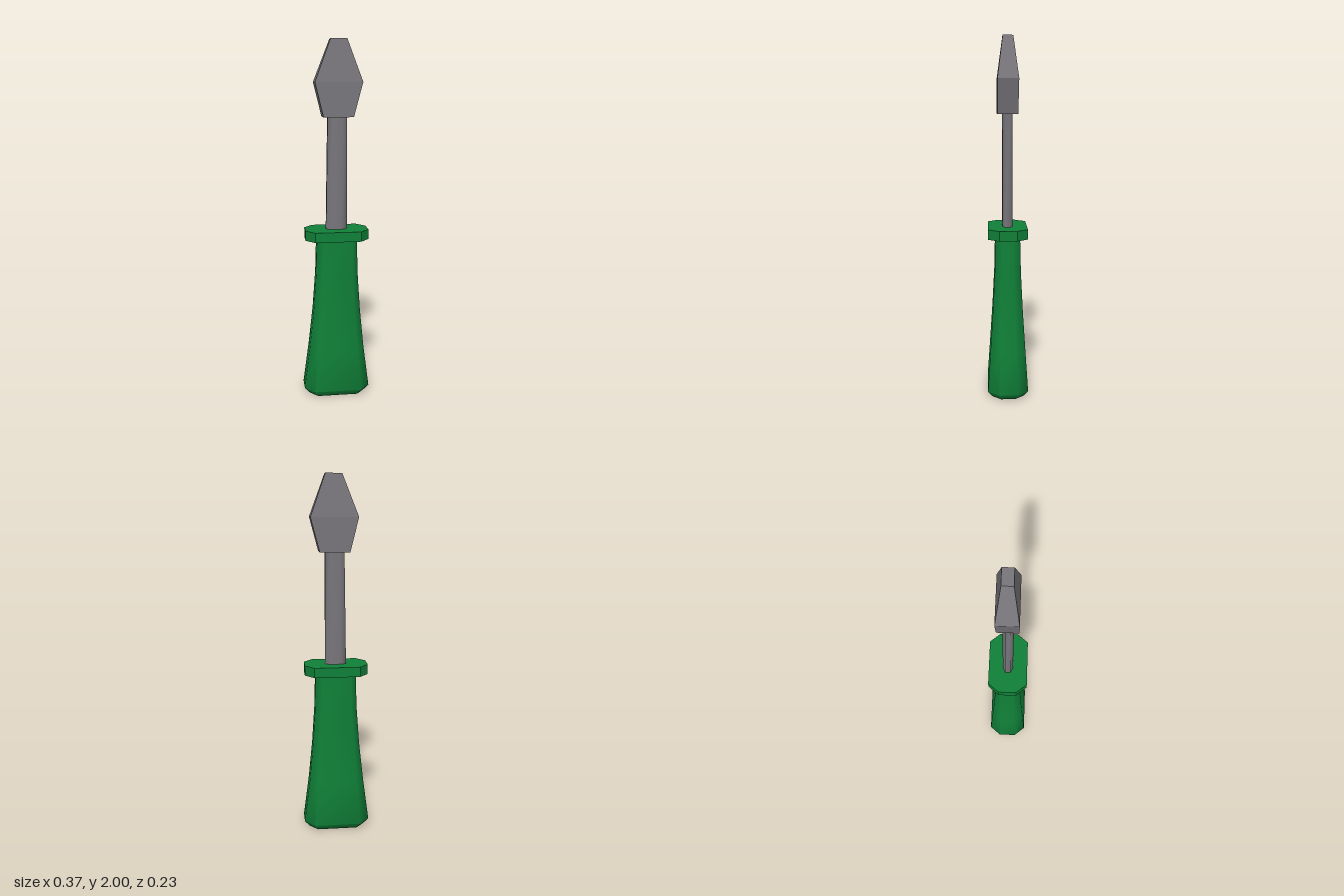
import * as THREE from 'three';
import { toCreasedNormals } from 'three/addons/utils/BufferGeometryUtils.js';

// Closed solid from sections [y, xMin, xMax, zMin, zMax], each a rectangle
// whose corners are cut by the fractions cx, cz of its half size.
function loft(sections, cx, cz, crease) {
  const pos = [], idx = [];
  const corners = [[1, 1 - cz], [1 - cx, 1], [cx - 1, 1], [-1, 1 - cz],
    [-1, cz - 1], [cx - 1, -1], [1 - cx, -1], [1, cz - 1]];
  const ring = cx > 0 ? corners : [[1, 1], [-1, 1], [-1, -1], [1, -1]];
  const n = ring.length;
  for (const [y, x0, x1, z0, z1] of sections) {
    for (const [u, v] of ring) {
      pos.push((x0 + x1) / 2 + u * (x1 - x0) / 2, y, (z0 + z1) / 2 + v * (z1 - z0) / 2);
    }
  }
  for (let s = 0; s < sections.length - 1; s++) {
    for (let i = 0; i < n; i++) {
      const a = s * n + i, b = s * n + (i + 1) % n;
      idx.push(a, a + n, b, b, a + n, b + n);
    }
  }
  // end caps
  const top = (sections.length - 1) * n;
  for (let i = 1; i < n - 1; i++) {
    idx.push(0, i, i + 1, top, top + i + 1, top + i);
  }
  const g = new THREE.BufferGeometry();
  g.setAttribute('position', new THREE.Float32BufferAttribute(pos, 3));
  g.setIndex(idx);
  return toCreasedNormals(g, crease);
}

export function createModel() {
  const green = new THREE.MeshStandardMaterial({ color: 0x108038 });
  green.name = 'handle green';
  const steel = new THREE.MeshStandardMaterial({ color: 0x78767b });
  steel.name = 'steel grey';

  const model = new THREE.Group();
  model.name = 'screwdriver';
  const add = (name, geometry, material) => {
    const mesh = new THREE.Mesh(geometry, material);
    mesh.name = name;
    model.add(mesh);
  };

  // flared grip with a softened butt
  add('handle', loft([
    [0, -0.157, 0.157, -0.09, 0.09],
    [0.035, -0.187, 0.186, -0.114, 0.113],
    [0.28, -0.155, 0.155, -0.098, 0.097],
    [0.5, -0.131, 0.134, -0.084, 0.083],
    [0.72, -0.115, 0.12, -0.073, 0.072],
    [0.93, -0.109, 0.115, -0.068, 0.068],
  ], 0.28, 0.55, 1.0), green);

  // collar
  add('guard', loft([
    [0.915, -0.174, 0.177, -0.108, 0.108],
    [0.97, -0.174, 0.177, -0.108, 0.108],
  ], 0.28, 0.55, 0.2), green);

  // slim flattened shaft
  add('shaft', loft([
    [0.96, -0.056, 0.06, -0.029, 0.028],
    [1.6, -0.046, 0.06, -0.028, 0.028],
  ], 0.5, 0.5, 1.2), steel);

  // faceted blade
  add('blade', loft([
    [1.59, -0.073, 0.091, -0.056, 0.056],
    [1.775, -0.118, 0.14, -0.058, 0.056],
    [2, -0.031, 0.058, -0.03, 0.026],
  ], 0, 0, 0.02), steel);

  return model;
}
